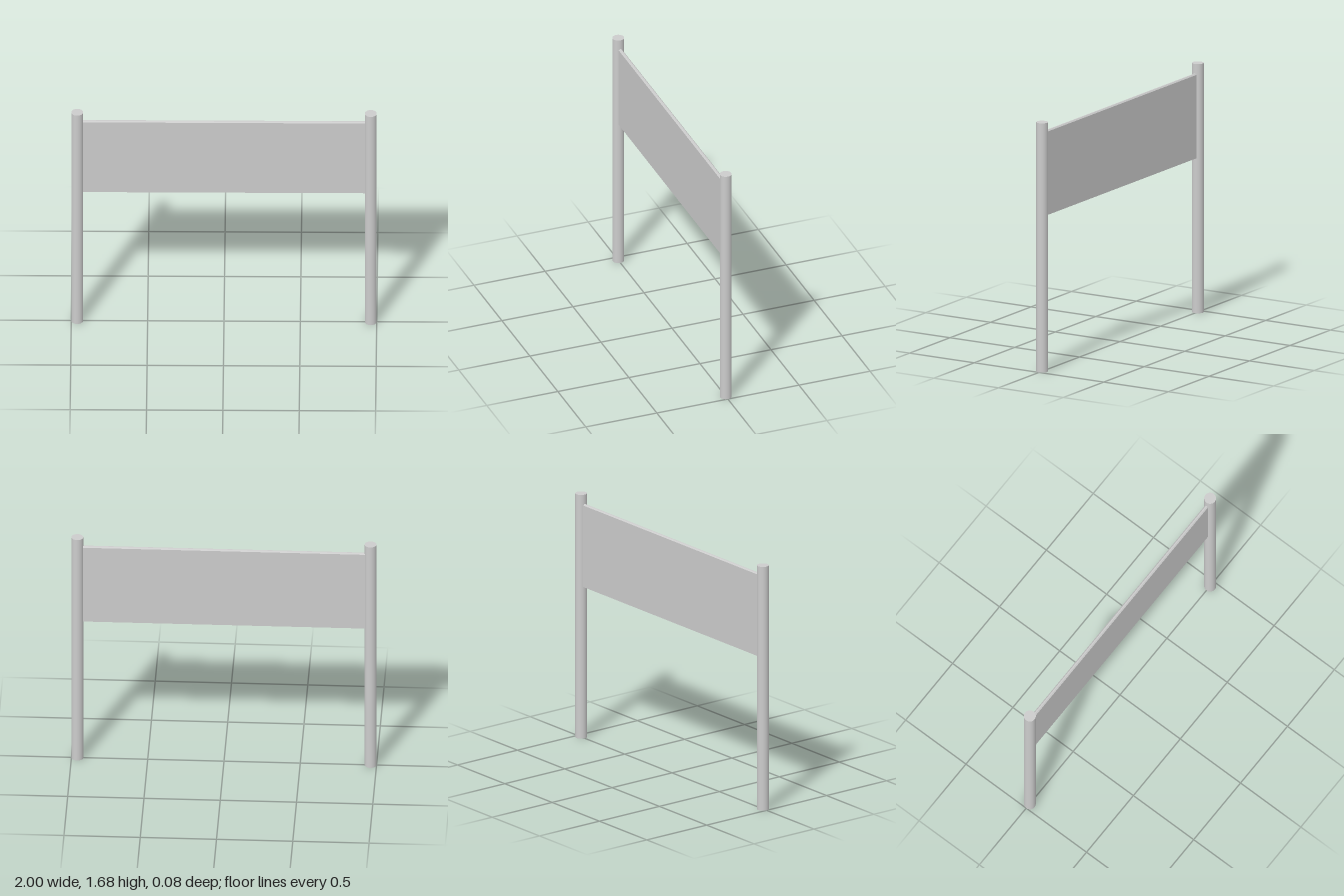
import * as THREE from 'three';

const POST_RADIUS = 0.039;
const POST_HEIGHT = 1.68;
const POST_X = 1 - POST_RADIUS;
const PANEL_BOTTOM = 1.045;
const PANEL_TOP = 1.615;
const PANEL_HALF_DEPTH = 0.012;
const BEVEL = 0.008;

export function createModel() {
  const group = new THREE.Group();
  group.name = 'signFrame';
  const material = new THREE.MeshStandardMaterial({ color: 0xcccccc });

  // Two round posts, mirrored across x
  const postGeometry = new THREE.CylinderGeometry(POST_RADIUS, POST_RADIUS, POST_HEIGHT, 32);
  for (const [name, side] of [['leftPost', 1], ['rightPost', -1]]) {
    const post = new THREE.Mesh(postGeometry, material);
    post.name = name;
    post.position.set(side * POST_X, POST_HEIGHT / 2, 0);
    group.add(post);
  }

  // Thin panel between the posts: cross-section with a bevelled top edge, swept along x
  const section = new THREE.Shape([
    [-PANEL_HALF_DEPTH, PANEL_BOTTOM],
    [PANEL_HALF_DEPTH, PANEL_BOTTOM],
    [PANEL_HALF_DEPTH, PANEL_TOP - BEVEL],
    [PANEL_HALF_DEPTH - BEVEL, PANEL_TOP],
    [-PANEL_HALF_DEPTH + BEVEL, PANEL_TOP],
    [-PANEL_HALF_DEPTH, PANEL_TOP - BEVEL],
  ].map(([z, y]) => new THREE.Vector2(z, y)));
  const length = 2 * (POST_X - POST_RADIUS) + 0.02;
  const panelGeometry = new THREE.ExtrudeGeometry(section, { depth: length, bevelEnabled: false });
  panelGeometry.translate(0, 0, -length / 2).rotateY(Math.PI / 2);
  const panel = new THREE.Mesh(panelGeometry, material);
  panel.name = 'panel';
  group.add(panel);

  return group;
}
